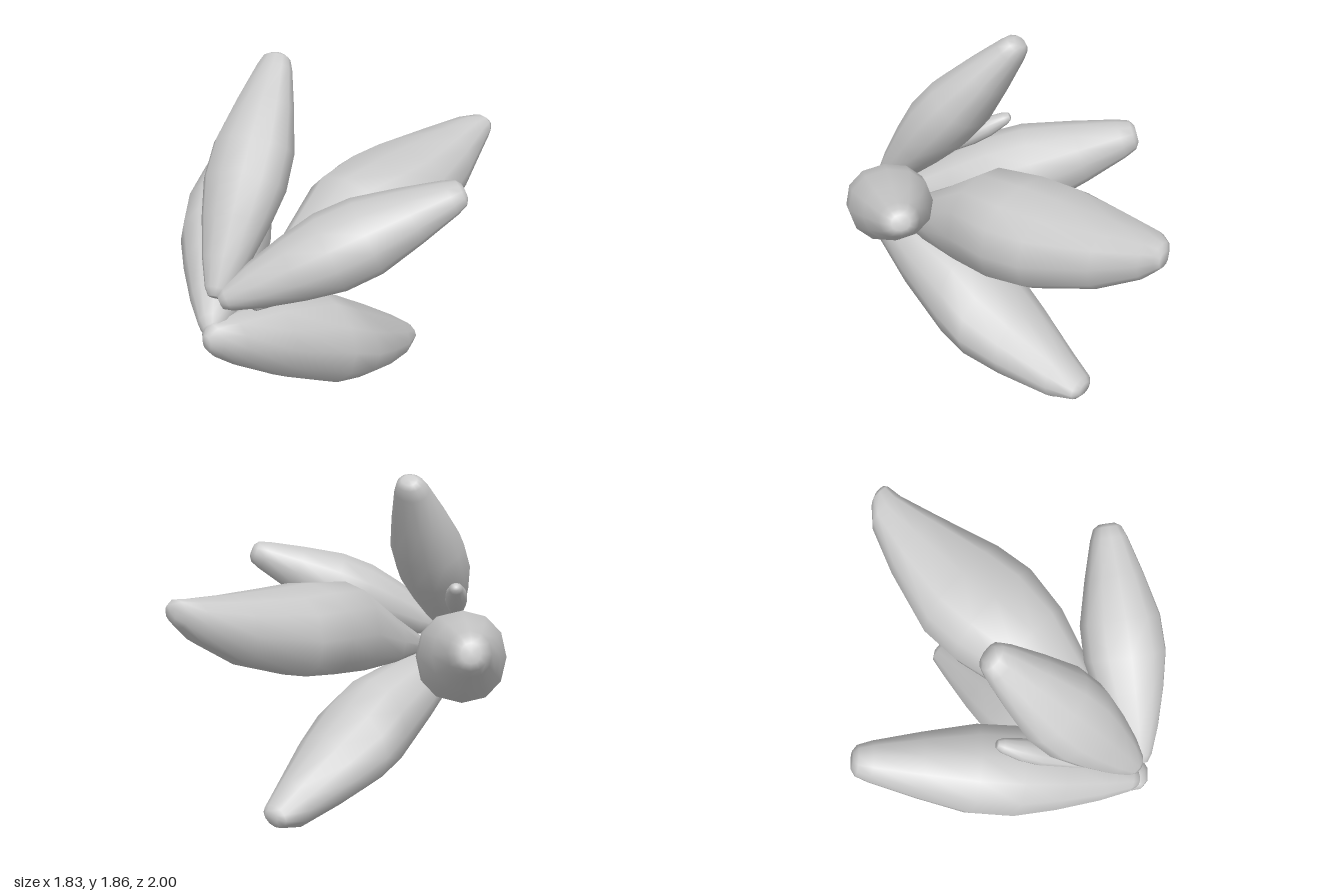
import * as THREE from 'three';

const SIDES = 12;
const material = new THREE.MeshStandardMaterial({ color: 0xcccccc });
const bend = (s, power) => Math.sign(s) * Math.abs(s) ** power;

// Closed pod skinned over rings: each station is [x, y, z, half width, half height];
// a power below 1 makes the rings boxier
function pod(name, u, v, power, stations) {
  const pos = [], index = [], n = stations.length;
  for (const [x, y, z, a, b] of stations) {
    for (let j = 0; j < SIDES; j++) {
      const t = (j / SIDES) * Math.PI * 2;
      const p = new THREE.Vector3(x, y, z)
        .addScaledVector(u, a * bend(Math.cos(t), power))
        .addScaledVector(v, b * bend(Math.sin(t), power));
      pos.push(p.x, p.y, p.z);
    }
  }
  for (let i = 0; i < n - 1; i++) {
    for (let j = 0; j < SIDES; j++) {
      const k = (j + 1) % SIDES;
      const a = i * SIDES + j, b = i * SIDES + k, c = b + SIDES, d = a + SIDES;
      index.push(a, b, c, a, c, d);
    }
  }
  // End caps
  const first = n * SIDES, last = first + 1, top = (n - 1) * SIDES;
  pos.push(...stations[0].slice(0, 3), ...stations[n - 1].slice(0, 3));
  for (let j = 0; j < SIDES; j++) {
    const k = (j + 1) % SIDES;
    index.push(first, k, j, last, top + j, top + k);
  }
  const geometry = new THREE.BufferGeometry();
  geometry.setAttribute('position', new THREE.Float32BufferAttribute(pos, 3));
  geometry.setIndex(index);
  geometry.computeVertexNormals();
  const mesh = new THREE.Mesh(geometry, material);
  mesh.name = name;
  return mesh;
}

// Profiles: fraction along the pod, relative girth
const LONG = [
  [0, 0.2], [0.03, 0.32], [0.14, 0.56], [0.3, 0.82], [0.45, 1], [0.6, 0.98],
  [0.78, 0.72], [0.94, 0.45], [0.985, 0.34], [1, 0.2],
];
const STUB = [[0, 0.25], [0.2, 0.6], [0.55, 1], [0.75, 0.95], [0.95, 0.6], [1, 0.35]];

// Pod from base to tip, sagging by a small amount in its middle; up sets its roll
function slantedPod(name, base, tip, width, height, { profile = LONG, up = [0, 1, 0], sag = 0 } = {}) {
  const a = new THREE.Vector3(...base), b = new THREE.Vector3(...tip);
  const d = b.clone().sub(a).normalize();
  const u = d.clone().cross(new THREE.Vector3(...up)).normalize();
  const v = d.clone().cross(u);
  return pod(name, u, v, 0.92, profile.map(([t, r]) => {
    const c = a.clone().lerp(b, t);
    return [c.x, c.y - sag * Math.sin(Math.PI * t), c.z, r * width, r * height];
  }));
}

export function createModel() {
  const group = new THREE.Group();
  group.name = 'podCluster';
  const u = new THREE.Vector3(-1, 0, 0), v = new THREE.Vector3(0, 1, 0);

  // Pods fanning out to the top and sides
  group.add(
    slantedPod('topPod', [0.13, 0.88, 0.92], [-0.19, 1.83, 0.18], 0.215, 0.175, { up: [0, 0.5, 1] }),
    slantedPod('leftPod', [0.16, 0.87, 0.92], [0.875, 1.36, 0.03], 0.215, 0.185),
    slantedPod('rightPod', [0.13, 0.71, 0.95], [-0.86, 1.11, -0.13], 0.235, 0.245, { sag: 0.02 }),
    slantedPod('smallPod', [-0.05, 1.01, 0.76], [-0.35, 1.27, 0.38], 0.06, 0.055, { profile: STUB }),
  );

  // Long boxy pod reaching backwards
  group.add(pod('backPod', u, v, 0.82, [
    [0.19, 0.79, 0.74, 0.03, 0.03],
    [0.19, 0.81, 0.7, 0.06, 0.05],
    [0.2, 0.895, 0.42, 0.17, 0.145],
    [0.21, 1.01, 0.12, 0.26, 0.25],
    [0.21, 1.045, -0.14, 0.315, 0.245],
    [0.2, 1.065, -0.35, 0.305, 0.23],
    [0.2, 1.135, -0.68, 0.2, 0.177],
    [0.21, 1.215, -0.9, 0.115, 0.112],
    [0.24, 1.26, -0.975, 0.07, 0.07],
    [0.26, 1.265, -1, 0.04, 0.04],
  ]));

  // Drooping pod that carries the model
  group.add(pod('bottomPod', u, v, 1, [
    [0.14, 0.67, 1, 0.03, 0.04],
    [0.14, 0.67, 0.96, 0.08, 0.09],
    [0.15, 0.625, 0.85, 0.12, 0.135],
    [0.16, 0.535, 0.6, 0.195, 0.215],
    [0.16, 0.41, 0.27, 0.275, 0.27],
    [0.16, 0.335, 0.1, 0.29, 0.235],
    [0.155, 0.245, -0.1, 0.235, 0.195],
    [0.14, 0.13, -0.36, 0.14, 0.13],
    [0.13, 0.1, -0.49, 0.09, 0.06],
    [0.13, 0.105, -0.515, 0.05, 0.035],
  ]));
  return group;
}
